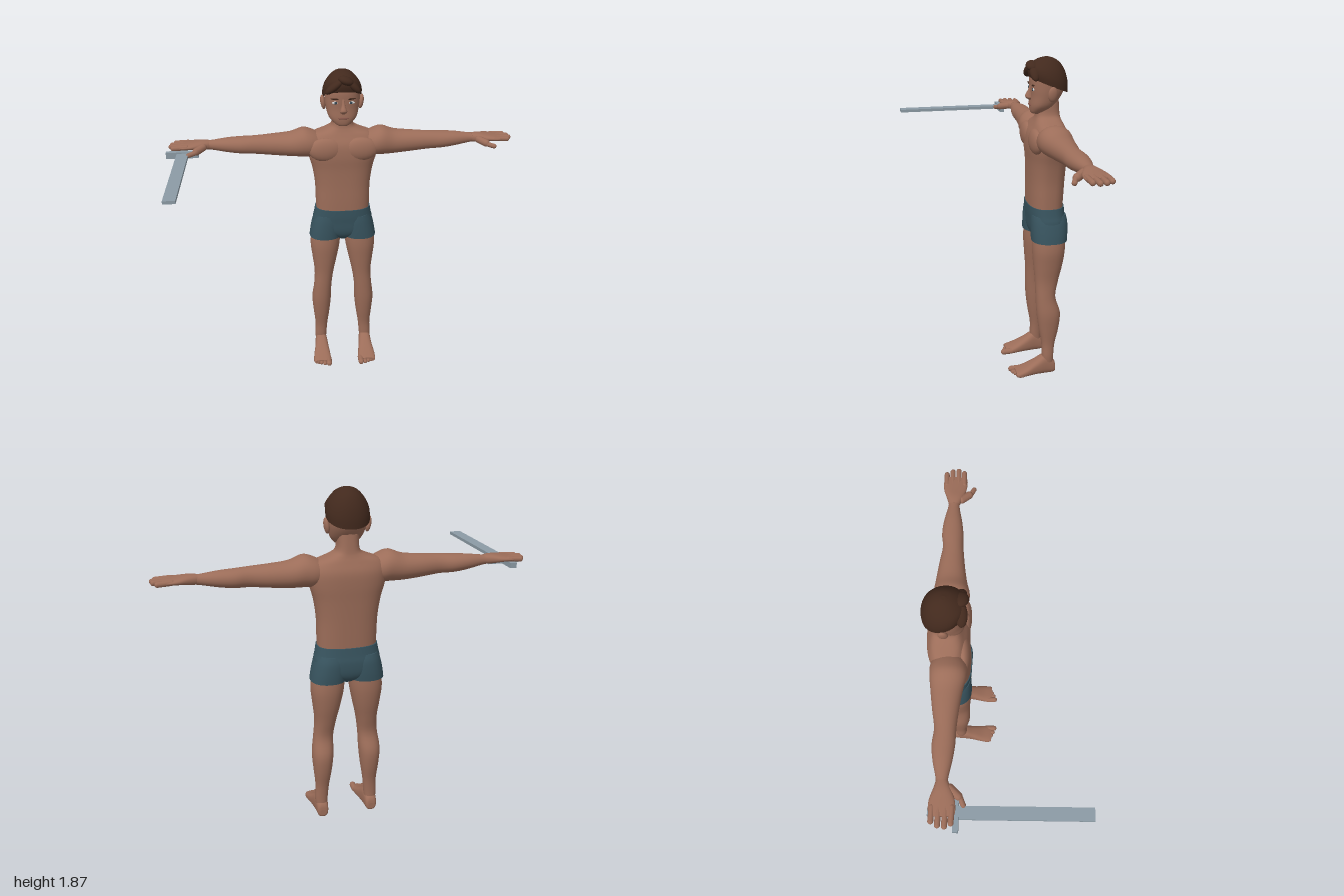
import * as THREE from 'three';

const mat = (name, color) => Object.assign(new THREE.MeshStandardMaterial({ color }), { name });

// Catmull-Rom refinement of a list of cross-sections
function refine(rows, k) {
  const out = [], at = i => rows[Math.max(0, Math.min(rows.length - 1, i))];
  for (let i = 0; i < rows.length - 1; i++)
    for (let s = 0; s < k; s++) {
      const t = s / k, [p, a, b, q] = [at(i - 1), at(i), at(i + 1), at(i + 2)];
      out.push(a.map((_, j) => 0.5 * (2 * a[j] + (b[j] - p[j]) * t +
        (2 * p[j] - 5 * a[j] + 4 * b[j] - q[j]) * t * t + (3 * a[j] - p[j] - 3 * b[j] + q[j]) * t ** 3)));
    }
  out.push(at(rows.length - 1));
  return out;
}

// Loft rounded sections [position, u0, u1, v0, v1] along an axis
// (y: u = x, v = z; x: u = y, v = z; z: u = x, v = y)
function loft(axis, rows, { n = 28, e = 2.3, k = 4 } = {}) {
  const pos = [], idx = [], sections = refine(rows, k);
  const put = (t, u, v) => pos.push(...(axis === 'y' ? [u, t, v] : axis === 'x' ? [t, u, v] : [u, v, t]));
  const flip = axis === 'y' ? 1 : -1;
  const ring = ([t, u0, u1, v0, v1]) => {
    for (let i = 0; i < n; i++) {
      const a = i / n * Math.PI * 2, c = Math.cos(a), s = Math.sin(a) * flip;
      put(t, (u0 + u1) / 2 + (u1 - u0) / 2 * Math.sign(c) * Math.abs(c) ** (2 / e),
        (v0 + v1) / 2 + (v1 - v0) / 2 * Math.sign(s) * Math.abs(s) ** (2 / e));
    }
  };
  sections.forEach(ring);
  for (let r = 0; r < sections.length - 1; r++)
    for (let i = 0; i < n; i++) {
      const a = r * n + i, b = r * n + (i + 1) % n;
      idx.push(a, a + n, b + n, a, b + n, b);
    }
  // end caps with their own vertices
  [sections[0], sections[sections.length - 1]].forEach((s, end) => {
    const base = pos.length / 3;
    ring(s);
    put(s[0], (s[1] + s[2]) / 2, (s[3] + s[4]) / 2);
    for (let i = 0; i < n; i++) {
      const a = base + i, b = base + (i + 1) % n;
      idx.push(base + n, ...(end ? [b, a] : [a, b]));
    }
  });
  const g = new THREE.BufferGeometry();
  g.setAttribute('position', new THREE.Float32BufferAttribute(pos, 3));
  g.setIndex(idx);
  g.computeVertexNormals();
  return g;
}

// Symmetric section about x = 0
const sym = rows => rows.map(([y, w, z0, z1]) => [y, -w, w, z0, z1]);

// Ellipsoid, optionally rolled about z
const blob = (x, y, z, rx, ry, rz, roll = 0) =>
  new THREE.SphereGeometry(1, 20, 14).scale(rx, ry, rz).rotateZ(roll).translate(x, y, z);

// Capsule between two points, for fingers and toes
function digit(a, b, r) {
  const p = new THREE.Vector3(...a), d = new THREE.Vector3(...b).sub(p), len = d.length();
  const q = new THREE.Quaternion().setFromUnitVectors(new THREE.Vector3(0, 1, 0), d.clone().normalize());
  return new THREE.CapsuleGeometry(r, Math.max(len - 2 * r, 0.001), 5, 10)
    .applyQuaternion(q).translate(p.x + d.x / 2, p.y + d.y / 2, p.z + d.z / 2);
}

function mirror(g) {
  const m = g.clone().applyMatrix4(new THREE.Matrix4().makeScale(-1, 1, 1));
  const ix = m.index.array;
  for (let i = 0; i < ix.length; i += 3) [ix[i + 1], ix[i + 2]] = [ix[i + 2], ix[i + 1]];
  return m;
}

export function createModel() {
  const model = new THREE.Group();
  model.name = 'swordsman';
  const skin = mat('skin', 0x9c6d59), hairMat = mat('hair', 0x42291d), cloth = mat('trunks cloth', 0x38545f);
  const metal = mat('steel', 0x8c9ba5), white = mat('eye white', 0xd8d8d8);
  const iris = mat('iris', 0x3a4a55), lip = mat('lips', 0x85564a);
  const add = (name, g, m) => {
    const mesh = new THREE.Mesh(g, m);
    mesh.name = name;
    model.add(mesh);
  };
  const pair = (name, g, m) => {
    add(name + 'Left', g, m);
    add(name + 'Right', mirror(g), m);
  };

  // Torso and neck
  add('torso', loft('y', sym([
    [1.0, 0.158, -0.402, -0.212], [1.1, 0.16, -0.406, -0.21], [1.2, 0.163, -0.41, -0.21],
    [1.3, 0.178, -0.415, -0.207], [1.38, 0.2, -0.42, -0.2], [1.45, 0.205, -0.418, -0.205],
    [1.5, 0.175, -0.4, -0.228], [1.53, 0.1, -0.388, -0.242], [1.56, 0.06, -0.382, -0.25],
    [1.64, 0.056, -0.375, -0.255]]), { n: 40, e: 2.6 }), skin);
  pair('chestMuscle', blob(0.1, 1.425, -0.228, 0.1, 0.07, 0.036), skin);

  // Arms, hands and fingers
  pair('arm', loft('x', [
    [0.13, 1.38, 1.5, -0.38, -0.23], [0.18, 1.37, 1.525, -0.395, -0.21], [0.23, 1.37, 1.536, -0.395, -0.208],
    [0.3, 1.372, 1.512, -0.388, -0.225], [0.4, 1.38, 1.502, -0.375, -0.24], [0.5, 1.39, 1.495, -0.36, -0.25],
    [0.58, 1.393, 1.49, -0.368, -0.253], [0.66, 1.403, 1.485, -0.36, -0.263], [0.75, 1.42, 1.474, -0.34, -0.28],
    [0.79, 1.425, 1.475, -0.343, -0.273]], { e: 2.1 }), skin);
  pair('palm', loft('x', [
    [0.76, 1.424, 1.474, -0.338, -0.28], [0.8, 1.424, 1.476, -0.35, -0.262], [0.85, 1.432, 1.47, -0.367, -0.245],
    [0.9, 1.436, 1.464, -0.37, -0.24], [0.93, 1.438, 1.46, -0.362, -0.246]]), skin);
  [[-0.352, 0.967], [-0.32, 0.985], [-0.287, 0.99], [-0.257, 0.975]].forEach(([z, tip], i) =>
    pair('finger' + i, digit([0.87, 1.452, z], [tip, 1.447, z - 0.004], 0.0145), skin));
  pair('thumbBase', digit([0.78, 1.45, -0.285], [0.845, 1.432, -0.215], 0.021), skin);
  pair('thumbTip', digit([0.82, 1.435, -0.228], [0.885, 1.422, -0.2], 0.0135), skin);

  // Legs, feet and toes
  pair('leg', loft('y', [
    [0.06, 0.112, 0.175, -0.35, -0.285], [0.12, 0.107, 0.18, -0.35, -0.28], [0.2, 0.1, 0.177, -0.357, -0.278],
    [0.3, 0.085, 0.187, -0.378, -0.26], [0.4, 0.075, 0.194, -0.384, -0.246], [0.5, 0.072, 0.182, -0.355, -0.24],
    [0.6, 0.058, 0.176, -0.372, -0.236], [0.7, 0.036, 0.187, -0.395, -0.227], [0.8, 0.017, 0.197, -0.408, -0.22],
    [0.9, 0.012, 0.185, -0.405, -0.225]], { e: 2.2 }), skin);
  pair('foot', loft('z', [
    [-0.362, 0.125, 0.162, 0.015, 0.05], [-0.352, 0.112, 0.174, 0.003, 0.085], [-0.3, 0.105, 0.18, 0, 0.125],
    [-0.24, 0.098, 0.186, 0, 0.092], [-0.18, 0.09, 0.196, 0, 0.058], [-0.135, 0.087, 0.198, 0, 0.04],
    [-0.12, 0.092, 0.192, 0.004, 0.034]], { e: 2.6 }), skin);
  for (let i = 0; i < 5; i++) {
    const x = [0.103, 0.13, 0.151, 0.17, 0.186][i], r = i ? 0.0125 : 0.018;
    pair('toe' + i, digit([x, r + 0.005, -0.17], [x, r + 0.003, -0.084 - i * 0.011], r), skin);
  }

  // Swimming trunks: hips plus two short legs
  add('trunksHips', loft('y', sym([
    [0.83, 0.025, -0.35, -0.27], [0.86, 0.07, -0.395, -0.235], [0.9, 0.172, -0.415, -0.218],
    [0.96, 0.18, -0.42, -0.212], [1.0, 0.172, -0.415, -0.208], [1.045, 0.164, -0.41, -0.206]]),
    { n: 40, e: 2.6 }), cloth);
  pair('trunksLeg', loft('y', [
    [0.85, 0.008, 0.202, -0.417, -0.214], [0.9, 0.002, 0.194, -0.421, -0.212],
    [0.96, 0, 0.18, -0.42, -0.212], [1.0, 0.01, 0.165, -0.41, -0.215]], { e: 2.3 }), cloth);

  // Head, ears and nose
  add('head', loft('y', sym([
    [1.563, 0.03, -0.285, -0.228], [1.575, 0.048, -0.3, -0.219], [1.61, 0.08, -0.345, -0.214],
    [1.66, 0.094, -0.385, -0.217], [1.71, 0.1, -0.405, -0.215], [1.77, 0.098, -0.41, -0.217],
    [1.82, 0.07, -0.38, -0.25]]), { n: 36 }), skin);
  pair('ear', blob(0.108, 1.68, -0.315, 0.015, 0.042, 0.026, -0.15), skin);
  add('nose', loft('y', sym([
    [1.638, 0.01, -0.23, -0.207], [1.65, 0.021, -0.23, -0.193], [1.662, 0.018, -0.23, -0.189],
    [1.69, 0.01, -0.23, -0.203], [1.725, 0.008, -0.23, -0.216]]), { n: 16 }), skin);

  // Painted face details
  pair('eye', blob(0.044, 1.7, -0.222, 0.02, 0.008, 0.0045), white);
  pair('iris', blob(0.043, 1.7, -0.219, 0.008, 0.008, 0.0035), iris);
  pair('eyebrow', blob(0.045, 1.722, -0.22, 0.026, 0.005, 0.0045, 0.1), hairMat);
  add('mouth', blob(0, 1.612, -0.2145, 0.03, 0.006, 0.0045), lip);

  // Hair cap, lower at the back, with swept locks over the forehead
  const cap = loft('y', sym([
    [1.722, 0.111, -0.423, -0.21], [1.76, 0.11, -0.422, -0.204], [1.8, 0.096, -0.41, -0.208],
    [1.835, 0.07, -0.385, -0.23], [1.858, 0.042, -0.35, -0.26], [1.868, 0.01, -0.315, -0.292]]), { n: 36, e: 2.1 });
  const p = cap.attributes.position;
  for (let i = 0; i < p.count; i++) {
    const up = Math.min(1, Math.max(0, (p.getY(i) - 1.722) / 0.146));
    p.setY(i, p.getY(i) + 0.4 * (p.getZ(i) + 0.31) * (1 - up));
  }
  cap.computeVertexNormals();
  add('hairCap', cap, hairMat);
  add('hairLockRight', blob(-0.05, 1.79, -0.222, 0.062, 0.022, 0.03, 0.65), hairMat);
  add('hairLockTop', blob(0.015, 1.823, -0.222, 0.045, 0.024, 0.036, -0.35), hairMat);
  add('hairLockLeft', blob(0.058, 1.79, -0.225, 0.052, 0.02, 0.027, -0.8), hairMat);

  // Sword under the right hand
  const box = (name, x0, x1, y0, y1, z0, z1) => add(name, new THREE.BoxGeometry(x1 - x0, y1 - y0, z1 - z0)
    .translate((x0 + x1) / 2, (y0 + y1) / 2, (z0 + z1) / 2), metal);
  box('swordBlade', -0.94, -0.875, 1.412, 1.429, -0.24, 0.42);
  box('swordGuard', -1.0, -0.82, 1.4, 1.436, -0.253, -0.226);
  box('swordGrip', -0.925, -0.89, 1.406, 1.434, -0.375, -0.24);
  return model;
}
